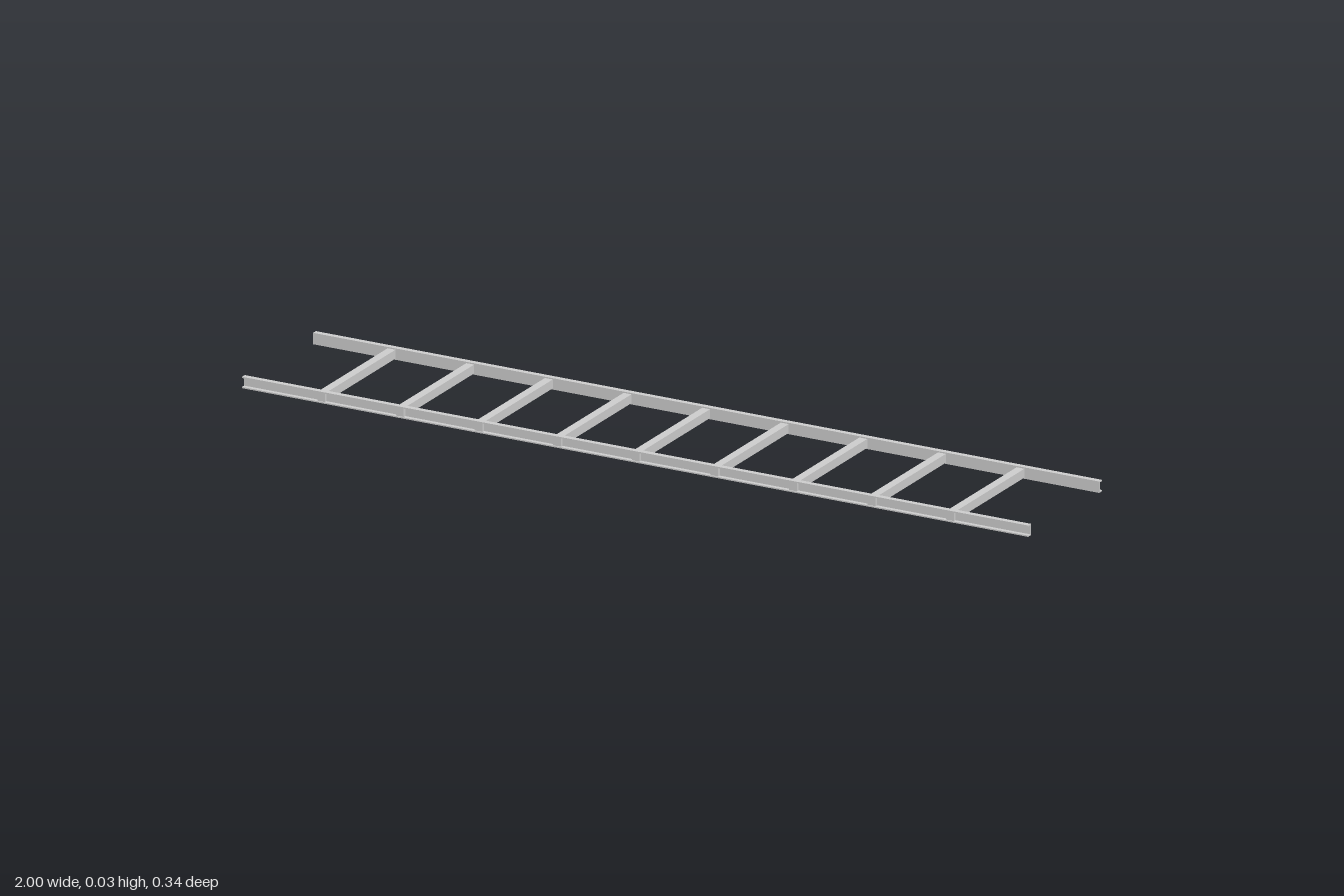
import * as THREE from 'three';

export function createModel() {
  const group = new THREE.Group();
  const material = new THREE.MeshStandardMaterial({ color: 0xcccccc, flatShading: true });

  // Side rails: channel section, web on the inside, flanges pointing outward
  const inner = 0.157, outer = 0.17, height = 0.027, wall = 0.003;
  const section = new THREE.Shape([
    [inner, 0], [outer, 0], [outer, wall], [inner + wall, wall],
    [inner + wall, height - wall], [outer, height - wall], [outer, height], [inner, height],
  ].map(([x, y]) => new THREE.Vector2(x, y)));
  const railGeometry = new THREE.ExtrudeGeometry(section, { depth: 2, bevelEnabled: false });
  railGeometry.translate(0, 0, -1);
  for (const side of [-1, 1]) {
    const rail = new THREE.Mesh(railGeometry, material);
    rail.name = side > 0 ? 'backRail' : 'frontRail';
    rail.rotation.y = side * Math.PI / 2;
    group.add(rail);
  }

  // Rungs: square bars passing through the rail webs
  const rungGeometry = new THREE.BoxGeometry(0.02, 0.021, 0.334);
  for (let i = -4; i <= 4; i++) {
    const rung = new THREE.Mesh(rungGeometry, material);
    rung.name = 'rung' + (i + 5);
    rung.position.set(i * 0.2, height / 2, 0);
    group.add(rung);
  }
  return group;
}
